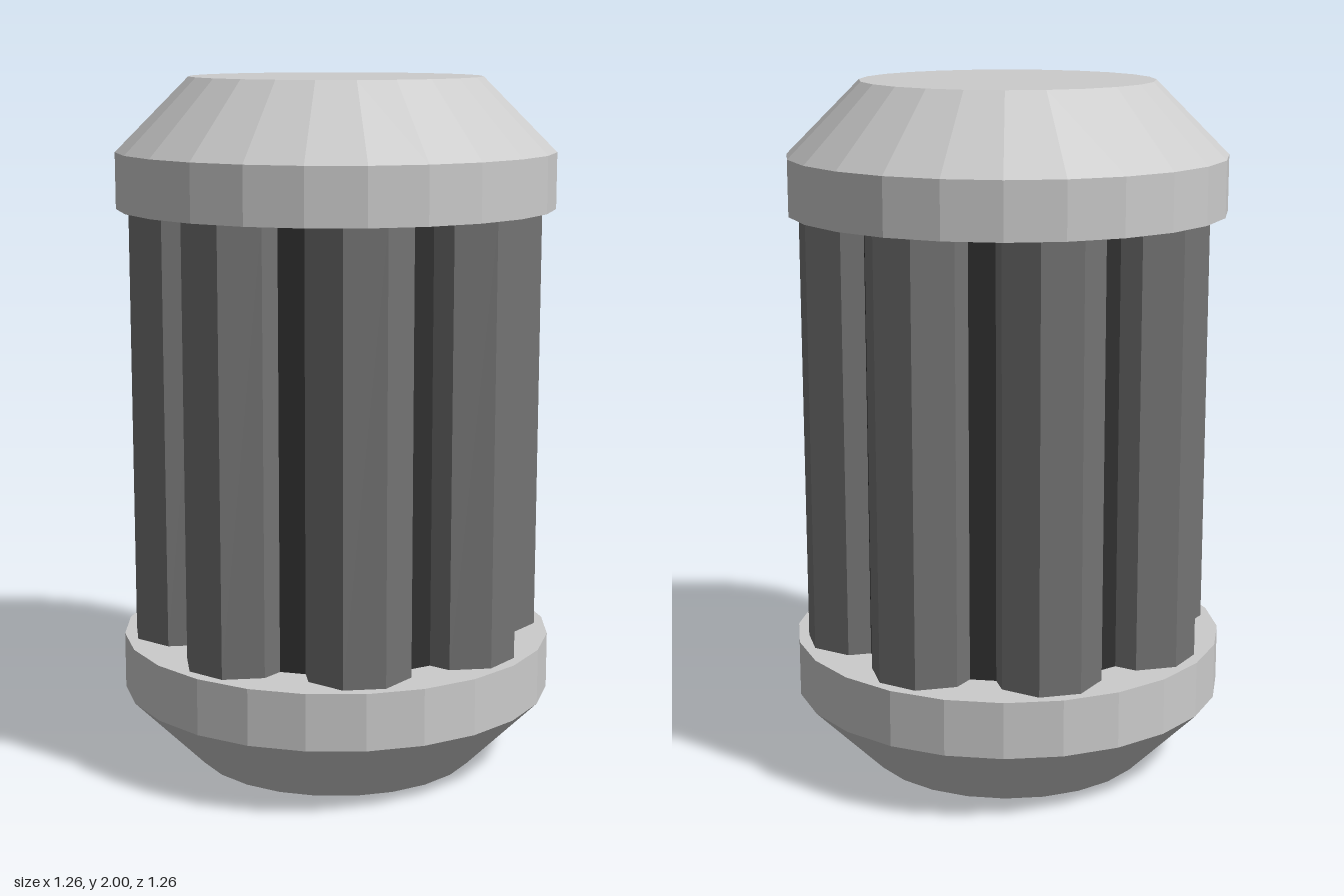
import * as THREE from 'three';

const CAP_SIDES = 24;
const LOW = 0.375, HIGH = 1.63; // span between the two caps

function flat(color) {
  return new THREE.MeshStandardMaterial({ color, flatShading: true });
}

function column(name, radius, sides, material) {
  const mesh = new THREE.Mesh(
    new THREE.CylinderGeometry(radius, radius, HIGH - LOW, sides), material);
  mesh.name = name;
  mesh.position.y = (LOW + HIGH) / 2;
  return mesh;
}

// Closed profile from the axis outwards and back, listed bottom to top
function cap(name, points, material) {
  const profile = points.map(([r, y]) => new THREE.Vector2(r, y));
  const mesh = new THREE.Mesh(new THREE.LatheGeometry(profile, CAP_SIDES), material);
  mesh.name = name;
  return mesh;
}

export function createModel() {
  const model = new THREE.Group();
  model.name = 'canister';
  const shell = flat(0xcccccc), rodGrey = flat(0x737373), coreGrey = flat(0x303030);

  // Bevelled end caps
  model.add(cap('bottomCap',
    [[0, 0], [0.42, 0], [0.63, 0.212], [0.63, LOW], [0, LOW]], shell));
  model.add(cap('topCap',
    [[0, HIGH], [0.63, HIGH], [0.63, 1.79], [0.42, 2], [0, 2]], shell));

  // Dark inner core
  model.add(column('core', 0.468, CAP_SIDES, coreGrey));

  // Ring of eight octagonal rods, each with a flat face outwards
  const rods = new THREE.Group();
  rods.name = 'rods';
  for (let i = 0; i < 8; i++) {
    const a = (i * Math.PI) / 4;
    const rod = column('rod', 0.155, 8, rodGrey);
    rod.position.x = 0.45 * Math.sin(a);
    rod.position.z = 0.45 * Math.cos(a);
    rod.rotation.y = a + Math.PI / 8;
    rods.add(rod);
  }
  model.add(rods);

  return model;
}
